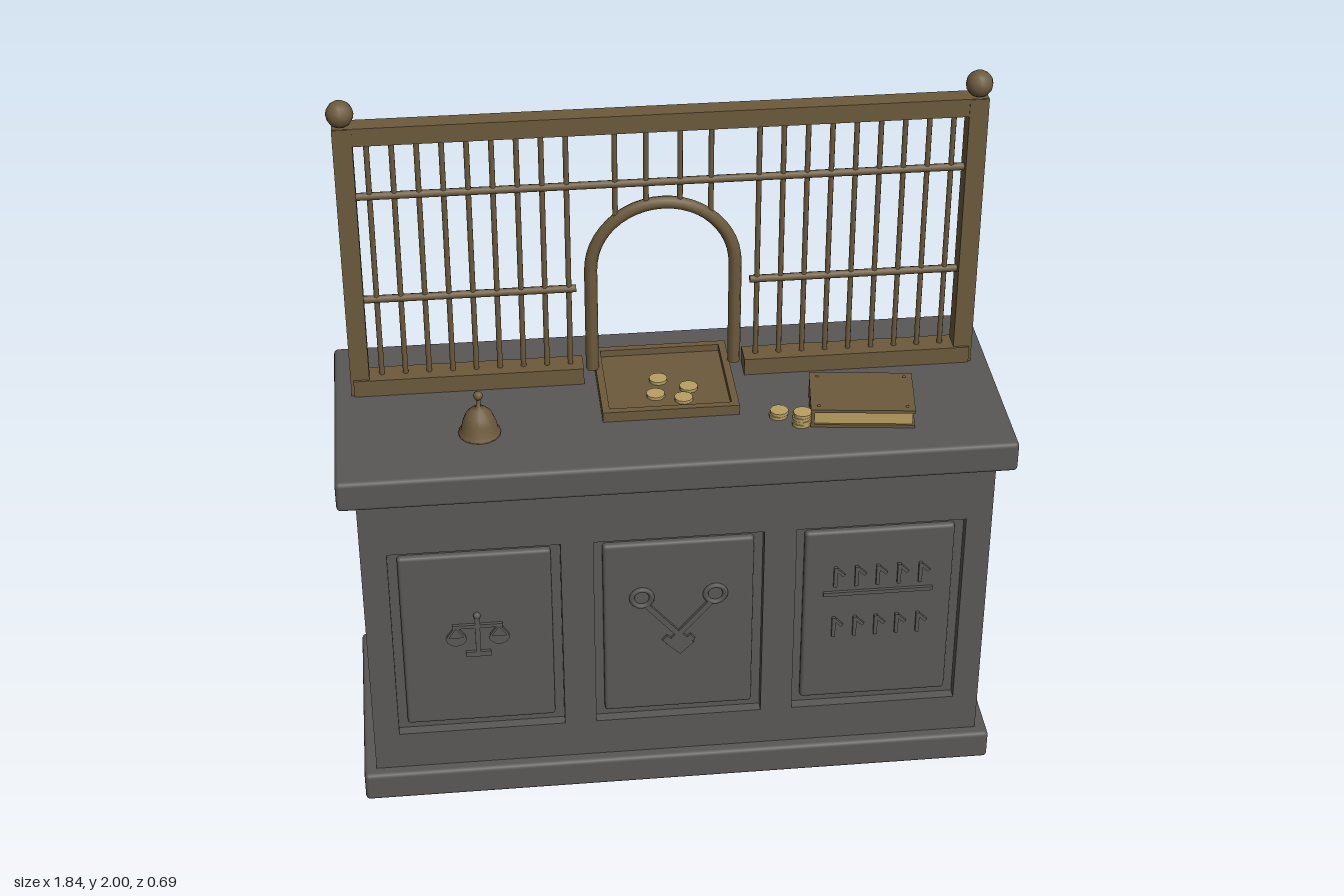
import * as THREE from 'three';
import { RoundedBoxGeometry } from 'three/addons/geometries/RoundedBoxGeometry.js';

export function createModel() {
  const model = new THREE.Group();
  const material = (name, color) => {
    const m = new THREE.MeshStandardMaterial({ color });
    m.name = name;
    return m;
  };
  const stone = material('dark stone', 0x5a5857);
  const brass = material('aged brass', 0x6c5a3c);
  const gold = material('pale gold', 0xb9a063);

  const add = (name, geometry, mat, x = 0, y = 0, z = 0, parent = model) => {
    const mesh = new THREE.Mesh(geometry, mat);
    mesh.name = name;
    mesh.position.set(x, y, z);
    parent.add(mesh);
    return mesh;
  };
  const group = (name, x = 0, y = 0, z = 0, parent = model) => {
    const g = new THREE.Group();
    g.name = name;
    g.position.set(x, y, z);
    parent.add(g);
    return g;
  };
  const box = (w, h, d) => new THREE.BoxGeometry(w, h, d);
  const slab = (w, h, d, r = 0.012) => new RoundedBoxGeometry(w, h, d, 2, r);

  // Counter: plinth, body and worktop
  add('plinth', slab(1.81, 0.09, 0.67), stone, 0, 0.045, 0);
  add('counterBody', box(1.74, 0.95, 0.572), stone, 0, 0.555, -0.014);
  add('worktop', slab(1.84, 0.09, 0.69), stone, 0, 1.065, 0);

  // Front face with three sunken openings
  const panelXs = [-0.562, 0, 0.562];
  const rect = (path, x0, y0, x1, y1) => {
    path.moveTo(x0, y0);
    path.lineTo(x1, y0);
    path.lineTo(x1, y1);
    path.lineTo(x0, y1);
    path.closePath();
    return path;
  };
  const face = rect(new THREE.Shape(), -0.87, 0.08, 0.87, 1.03);
  for (const x of panelXs) {
    face.holes.push(rect(new THREE.Path(), x - 0.236, 0.21, x + 0.236, 0.84));
  }
  add('frontFrame', new THREE.ExtrudeGeometry(face, { depth: 0.03, bevelEnabled: false }), stone, 0, 0, 0.272);
  for (const x of panelXs) add('frontPanel', slab(0.42, 0.58, 0.036, 0.01), stone, x, 0.525, 0.272);

  // Carved reliefs: strokes are thin boxes between two points
  const stroke = (parent, x0, y0, x1, y1, w = 0.011) => {
    const s = add('carvedStroke', box(Math.hypot(x1 - x0, y1 - y0), w, 0.014), stone,
      (x0 + x1) / 2, (y0 + y1) / 2, 0, parent);
    s.rotation.z = Math.atan2(y1 - y0, x1 - x0);
    return s;
  };

  const scales = group('scalesRelief', -0.562, 0.54, 0.292);
  stroke(scales, 0, -0.06, 0, 0.07, 0.014);
  stroke(scales, -0.035, -0.062, 0.035, -0.062, 0.016);
  stroke(scales, -0.07, 0.035, 0.07, 0.035);
  add('scalesTop', new THREE.SphereGeometry(0.011, 8, 6), stone, 0, 0.068, 0, scales);
  for (const s of [-1, 1]) {
    stroke(scales, s * 0.06, 0.035, s * 0.084, 0, 0.006);
    stroke(scales, s * 0.06, 0.035, s * 0.036, 0, 0.006);
    const pan = new THREE.CylinderGeometry(0.03, 0.03, 0.014, 12, 1, false, -Math.PI / 2, Math.PI);
    add('scalePan', pan, stone, s * 0.06, 0, 0, scales).rotation.x = Math.PI / 2;
  }

  const keys = group('crossedKeysRelief', 0, 0.55, 0.292);
  for (const s of [-1, 1]) {
    add('keyRing', new THREE.TorusGeometry(0.028, 0.008, 6, 16), stone, s * 0.103, 0.082, 0, keys);
    stroke(keys, s * 0.088, 0.055, -s * 0.03, -0.085, 0.016);
    stroke(keys, -s * 0.04, -0.06, -s * 0.005, -0.09, 0.02);
  }
  add('keyBits', box(0.055, 0.055, 0.014), stone, 0.004, -0.08, 0, keys).rotation.z = Math.PI / 4;

  const notches = group('notchedRelief', 0.562, 0.57, 0.292);
  stroke(notches, -0.155, 0.035, 0.155, 0.035, 0.012);
  for (const y of [0.06, -0.115]) {
    for (let i = 0; i < 5; i++) {
      const x = -0.122 + i * 0.06;
      stroke(notches, x, y, x, y + 0.066, 0.01);
      stroke(notches, x, y + 0.062, x + 0.024, y + 0.038, 0.009);
    }
  }

  // Teller screen
  const screen = group('brassScreen', 0, 0, -0.115);
  const rod = (name, x0, y0, x1, y1, r) => {
    const m = add(name, new THREE.CylinderGeometry(r, r, Math.hypot(x1 - x0, y1 - y0), 8), brass,
      (x0 + x1) / 2, (y0 + y1) / 2, 0, screen);
    m.rotation.z = Math.atan2(y1 - y0, x1 - x0) - Math.PI / 2;
  };
  add('topRail', box(1.74, 0.052, 0.054), brass, 0, 1.905, 0, screen);
  rod('upperCrossbar', -0.83, 1.717, 0.83, 1.717, 0.011);
  for (const s of [-1, 1]) {
    add('post', box(0.052, 0.82, 0.058), brass, s * 0.845, 1.52, 0, screen);
    add('finial', new THREE.SphereGeometry(0.037, 12, 8), brass, s * 0.847, 1.963, 0, screen);
    add('bottomRail', box(0.638, 0.05, 0.072), brass, s * 0.544, 1.135, 0, screen);
    rod('lowerCrossbar', s * 0.83, 1.4, s * 0.24, 1.4, 0.011);
    for (let i = 0; i < 9; i++) {
      const x = s * (0.26 + i * 0.0655);
      rod('bar', x, 1.15, x, 1.89, 0.0075);
    }
    for (const x of [0.046, 0.13]) {
      rod('shortBar', s * x, 1.455 + Math.sqrt(0.04 - x * x), s * x, 1.89, 0.0075);
    }
  }

  // Arched window surround
  const arch = new THREE.CurvePath();
  const archPoints = [];
  for (let i = 0; i <= 16; i++) {
    const a = Math.PI * (1 - i / 16);
    archPoints.push(new THREE.Vector3(0.199 * Math.cos(a), 1.455 + 0.199 * Math.sin(a), 0));
  }
  arch.add(new THREE.LineCurve3(new THREE.Vector3(-0.199, 1.14, 0), archPoints[0]));
  arch.add(new THREE.CatmullRomCurve3(archPoints));
  arch.add(new THREE.LineCurve3(archPoints[16], new THREE.Vector3(0.199, 1.14, 0)));
  add('archSurround', new THREE.TubeGeometry(arch, 48, 0.018, 8), brass, 0, 0, 0, screen);
  for (const s of [-1, 1]) {
    const cap = new THREE.CircleGeometry(0.018, 8);
    add('archFoot', cap, brass, s * 0.199, 1.14, 0, screen).rotation.x = Math.PI / 2;
  }

  // Coin tray under the window
  const tray = group('coinTray', -0.002, 1.11, -0.05);
  add('trayFloor', box(0.35, 0.01, 0.32), brass, 0, 0.005, 0, tray);
  for (const s of [-1, 1]) {
    add('traySide', box(0.02, 0.03, 0.34), brass, s * 0.178, 0.015, 0, tray);
    add('trayEnd', box(0.336, 0.03, 0.02), brass, 0, 0.015, s * 0.16, tray);
  }

  // Coins: x, z, base height, number in the stack
  const coins = [
    [-0.02, -0.06, 1.12, 1], [0.06, -0.012, 1.12, 1], [-0.035, 0.017, 1.12, 1],
    [0.04, 0.043, 1.12, 1], [0.29, 0.137, 1.11, 2], [0.347, 0.183, 1.11, 4],
  ];
  const coin = new THREE.CylinderGeometry(0.026, 0.026, 0.009, 10);
  for (const [x, z, y, count] of coins) {
    for (let i = 0; i < count; i++) {
      add('coin', coin, gold, x + (i % 2) * 0.003, y + 0.0045 + i * 0.01, z);
    }
  }

  // Ledger
  const book = group('ledger', 0.522, 1.11, 0.125);
  book.rotation.y = -0.12;
  add('pages', box(0.268, 0.04, 0.178), gold, 0.002, 0.026, 0, book);
  add('spine', box(0.01, 0.054, 0.19), brass, -0.136, 0.028, 0, book);
  for (const y of [0.004, 0.051]) add('cover', box(0.284, 0.009, 0.192), brass, 0, y, 0, book);
  for (const sx of [-1, 1]) {
    for (const sz of [-1, 1]) {
      add('coverStud', new THREE.SphereGeometry(0.005, 6, 4), brass, sx * 0.12, 0.055, sz * 0.075, book);
    }
  }

  // Counter bell
  const profile = [
    [0, 0], [0.058, 0], [0.058, 0.008], [0.051, 0.014], [0.046, 0.04], [0.036, 0.064],
    [0.02, 0.08], [0.006, 0.086], [0.006, 0.11],
  ].map(([x, y]) => new THREE.Vector2(x, y));
  const bell = group('counterBell', -0.527, 1.11, 0.137);
  add('bellDome', new THREE.LatheGeometry(profile, 16), brass, 0, 0, 0, bell);
  add('bellKnob', new THREE.SphereGeometry(0.013, 10, 8), brass, 0, 0.121, 0, bell);

  return model;
}
